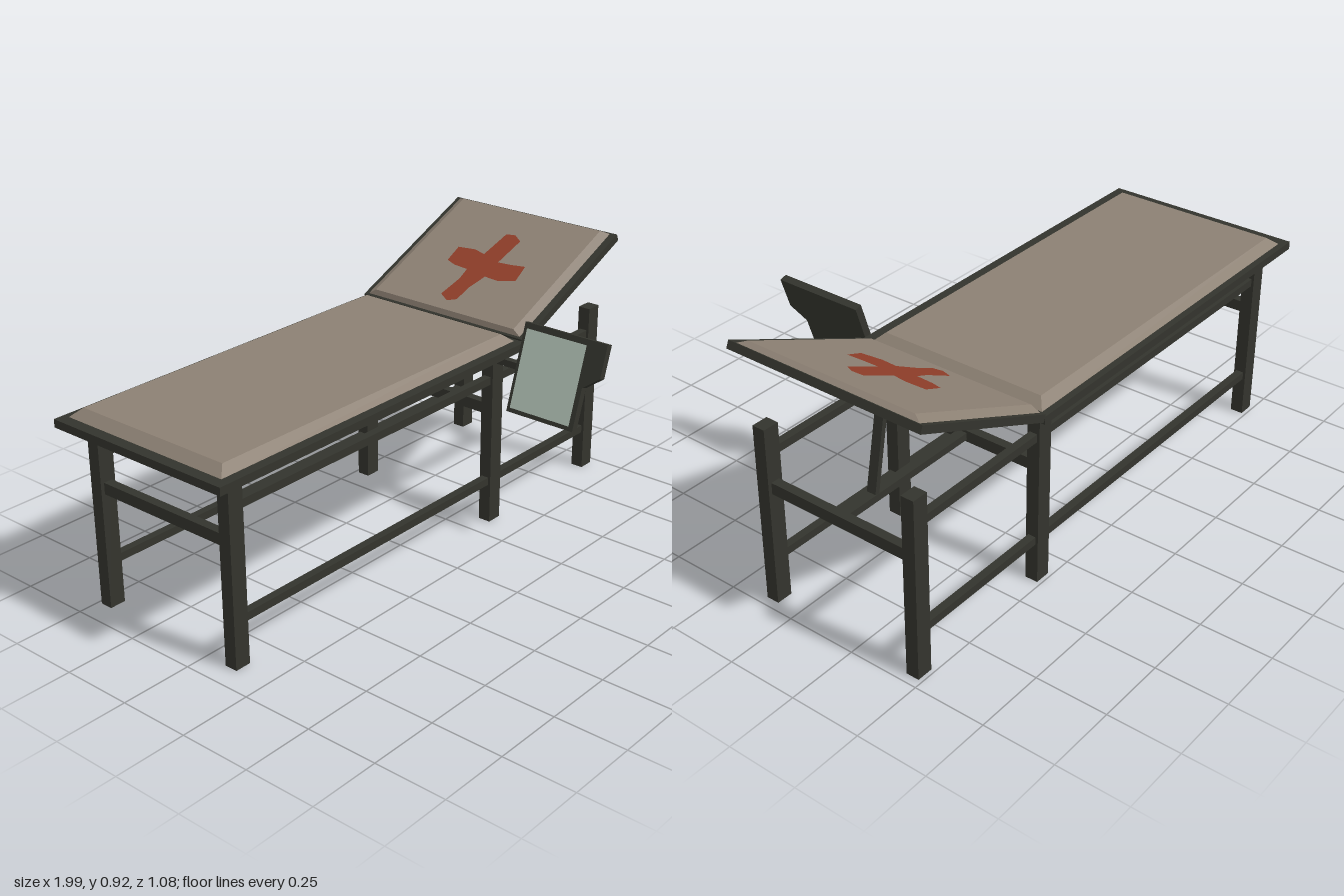
import * as THREE from 'three';

const mat = (name, color) => {
  const m = new THREE.MeshStandardMaterial({ color });
  m.name = name;
  return m;
};

export function createModel() {
  const root = new THREE.Group();
  root.name = 'examinationCouch';
  const frame = mat('darkFrame', 0x33342d);
  const pad = mat('tanPadding', 0x8c8073);
  const red = mat('redPaint', 0x8e3d29);
  const glass = mat('paleGlass', 0xb4c4b8);

  const add = (parent, name, geometry, material) => {
    const mesh = new THREE.Mesh(geometry, material);
    mesh.name = name;
    parent.add(mesh);
    return mesh;
  };
  // Box given by its extents
  const box = (parent, name, material, x0, x1, y0, y1, z0, z1) => {
    const g = new THREE.BoxGeometry(x1 - x0, y1 - y0, z1 - z0);
    g.translate((x0 + x1) / 2, (y0 + y1) / 2, (z0 + z1) / 2);
    return add(parent, name, g, material);
  };
  // Box whose top face is drawn in by ix and iz, for a bevelled cushion
  const cushion = (parent, name, x0, x1, y0, y1, z0, z1, ix, iz) => {
    const mesh = box(parent, name, pad, x0, x1, y0, y1, z0, z1);
    const p = mesh.geometry.attributes.position;
    const cx = (x0 + x1) / 2, cz = (z0 + z1) / 2;
    for (let i = 0; i < p.count; i++) {
      if (p.getY(i) < (y0 + y1) / 2) continue;
      p.setX(i, p.getX(i) - Math.sign(p.getX(i) - cx) * ix);
      p.setZ(i, p.getZ(i) - Math.sign(p.getZ(i) - cz) * iz);
    }
    mesh.geometry.computeVertexNormals();
    return mesh;
  };

  // Legs, cross bars and side rails
  const legX = [-0.892, 0.363, 0.94];
  const legZ = [0.107, -0.463];
  for (const x of legX) {
    for (const z of legZ) {
      box(root, 'leg', frame, x - 0.029, x + 0.029, 0, 0.637, z - 0.023, z + 0.023);
    }
    box(root, 'crossBar', frame, x - 0.016, x + 0.016, 0.405, 0.445, legZ[1], legZ[0]);
  }
  for (const z of legZ) {
    for (const y of [0.157, 0.539]) {
      box(root, 'sideRail', frame, legX[0], legX[2], y - 0.014, y + 0.014, z - 0.014, z + 0.014);
    }
  }
  box(root, 'propRail', frame, legX[1], legX[2], 0.412, 0.437, -0.195, -0.16);

  // Flat bed
  box(root, 'bedBoard', frame, -1, 0.44, 0.637, 0.665, -0.54, 0.183);
  cushion(root, 'bedCushion', -0.96, 0.425, 0.665, 0.693, -0.517, 0.148, 0.035, 0.03);

  // Raised headrest, hinged at its lower edge
  const head = new THREE.Group();
  head.name = 'headrest';
  head.position.set(0.447, 0.648, 0);
  head.rotation.z = 0.416;
  root.add(head);
  box(head, 'headBoard', frame, 0, 0.598, 0, 0.026, -0.54, 0.183);
  cushion(head, 'headCushion', 0.01, 0.592, 0.026, 0.042, -0.525, 0.156, 0.012, 0.03);

  // Hand-painted cross on the headrest, outlined as x, z pairs
  const outline = [
    [0.66, -0.33], [0.73, -0.335], [0.737, -0.265], [0.727, -0.215], [0.84, -0.2],
    [0.845, -0.163], [0.823, -0.125], [0.706, -0.136], [0.71, -0.078], [0.717, -0.024],
    [0.647, -0.013], [0.626, -0.078], [0.63, -0.136], [0.567, -0.158], [0.503, -0.163],
    [0.487, -0.195], [0.508, -0.238], [0.594, -0.222], [0.642, -0.227], [0.647, -0.29],
  ];
  const crossShape = new THREE.Shape(
    outline.map(([x, z]) => new THREE.Vector2((x - 0.429) / 0.915, -z)));
  const crossMesh = add(head, 'paintedCross', new THREE.ShapeGeometry(crossShape), red);
  crossMesh.rotation.x = -Math.PI / 2;
  crossMesh.position.y = 0.0445;

  // Bracket and prop under the headrest
  box(head, 'propBracket', frame, 0.28, 0.34, -0.022, 0.002, -0.207, -0.147);
  const top = new THREE.Vector2(0.735, 0.765), foot = new THREE.Vector2(0.797, 0.437);
  const prop = add(root, 'prop',
    new THREE.BoxGeometry(0.017, top.distanceTo(foot), 0.034), frame);
  prop.position.set((top.x + foot.x) / 2, (top.y + foot.y) / 2, -0.177);
  prop.rotation.z = Math.atan2(foot.x - top.x, top.y - foot.y);

  // Tilted side mirror on a short arm
  box(root, 'mirrorArm', frame, 0.352, 0.376, 0.6, 0.624, 0.12, 0.24);
  const mirror = new THREE.Group();
  mirror.name = 'sideMirror';
  mirror.position.set(0.325, 0.458, 0);
  mirror.rotation.z = -0.314;
  root.add(mirror);
  const panel = (points) => new THREE.Shape(points.map(([z, v]) => new THREE.Vector2(z, v)));
  const back = new THREE.ExtrudeGeometry(
    panel([[0.215, 0], [0.484, 0], [0.484, 0.15], [0.543, 0.195], [0.543, 0.31], [0.215, 0.31]]),
    { depth: 0.026, bevelEnabled: false });
  add(mirror, 'mirrorBoard', back.rotateY(-Math.PI / 2), frame);
  const face = new THREE.ShapeGeometry(
    panel([[0.228, 0.015], [0.468, 0.015], [0.468, 0.29], [0.228, 0.29]]));
  add(mirror, 'mirrorGlass', face.rotateY(-Math.PI / 2).translate(-0.029, 0, 0), glass);

  return root;
}
